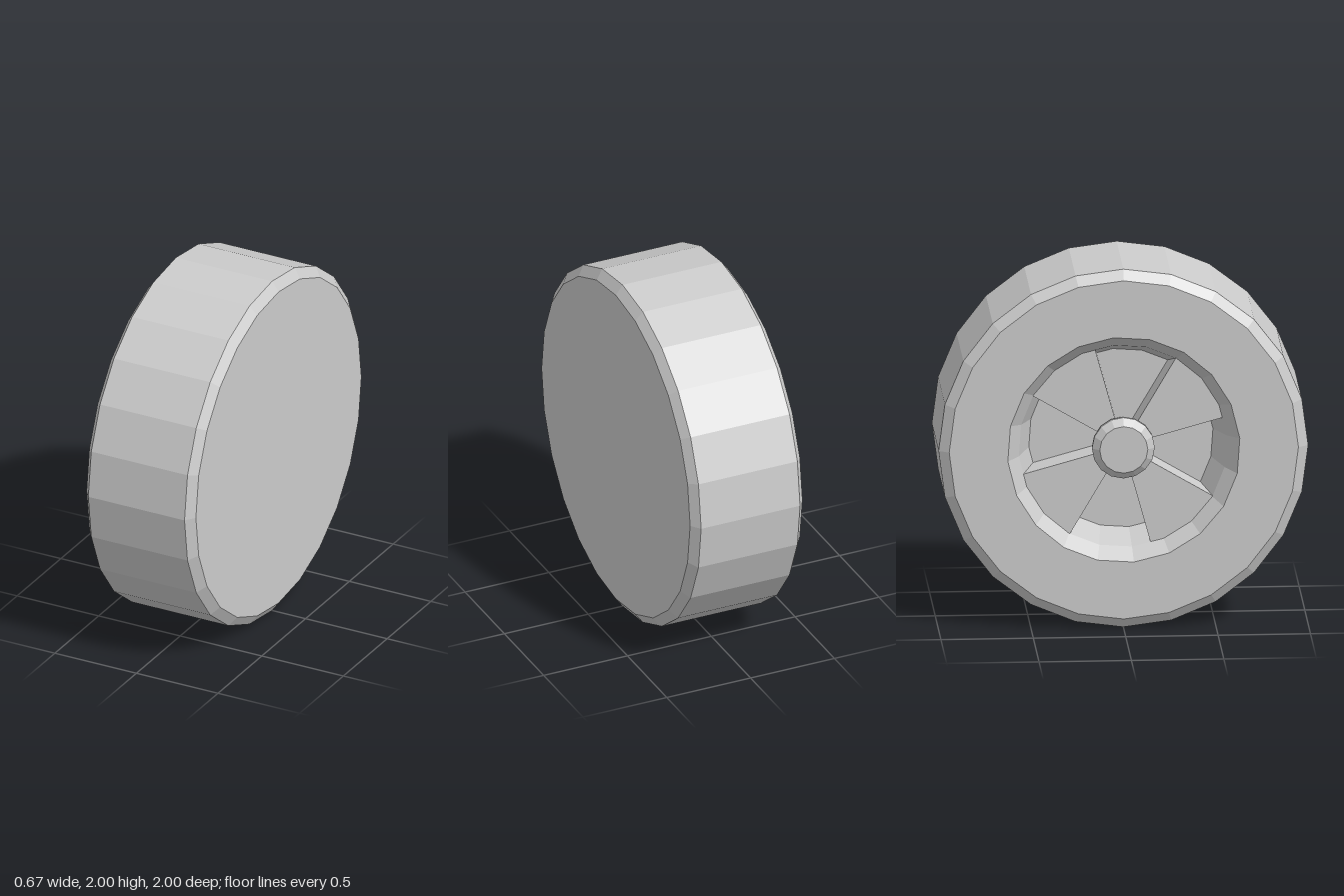
import * as THREE from 'three';

const material = new THREE.MeshStandardMaterial({ color: 0xcccccc, flatShading: true });
const rad = THREE.MathUtils.degToRad;
const RIM_SIDES = 20, RIM_PHASE = 5;

function add(group, name, geometry) {
  const mesh = new THREE.Mesh(geometry, material);
  mesh.name = name;
  group.add(mesh);
}

// Turned part around the x axis; profile points are [radius, x]
function turned(profile, sides, phase = 0) {
  const points = profile.map(([r, x]) => new THREE.Vector2(r, x));
  return new THREE.LatheGeometry(points, sides, -rad(phase)).rotateZ(-Math.PI / 2);
}

// Point in the wheel plane at an angle in degrees
const polar = (r, deg) => new THREE.Vector2(r * Math.cos(rad(deg)), r * Math.sin(rad(deg)));

const ring = (r, sides, phase = 0) =>
  Array.from({ length: sides }, (_, i) => polar(r, phase + (i * 360) / sides));

export function createModel() {
  const model = new THREE.Group();
  const wheel = new THREE.Group();
  wheel.name = 'wheel';
  wheel.position.y = 1; // axle height, so the tyre stands on the ground
  model.add(wheel);

  // Tyre tread, bevelled shoulders and closed inner face
  add(wheel, 'tyre', turned(
    [[0.945, -0.335], [1, -0.295], [1, 0.295], [0.945, 0.335], [0, 0.335]], 24));

  // Flat outer sidewall with the rim opening
  const sidewall = new THREE.Shape(ring(0.945, 24));
  sidewall.holes.push(new THREE.Path(ring(0.63, RIM_SIDES, RIM_PHASE)));
  add(wheel, 'sidewall',
    new THREE.ShapeGeometry(sidewall).rotateY(-Math.PI / 2).translate(-0.335, 0, 0));

  // Recessed rim bowl
  add(wheel, 'rim', turned(
    [[0, -0.075], [0.5, -0.075], [0.565, -0.25], [0.63, -0.335]], RIM_SIDES, RIM_PHASE));

  // Four wedge spokes
  for (let i = 0; i < 4; i++) {
    const a = 37.5 + i * 90;
    const wedge = new THREE.Shape([
      polar(0.08, a - 22), polar(0.58, a - 22), polar(0.58, a),
      polar(0.58, a + 22), polar(0.08, a + 22)]);
    const spoke = new THREE.ExtrudeGeometry(wedge, { depth: 0.175, bevelEnabled: false });
    add(wheel, 'spoke', spoke.translate(0, 0, 0.075).rotateY(-Math.PI / 2));
  }

  // Axle and bevelled hub cap
  add(wheel, 'hub', turned([
    [0, -0.335], [0.13, -0.335], [0.17, -0.295], [0.17, -0.275],
    [0.115, -0.275], [0.115, -0.075]], 16));

  return model;
}
